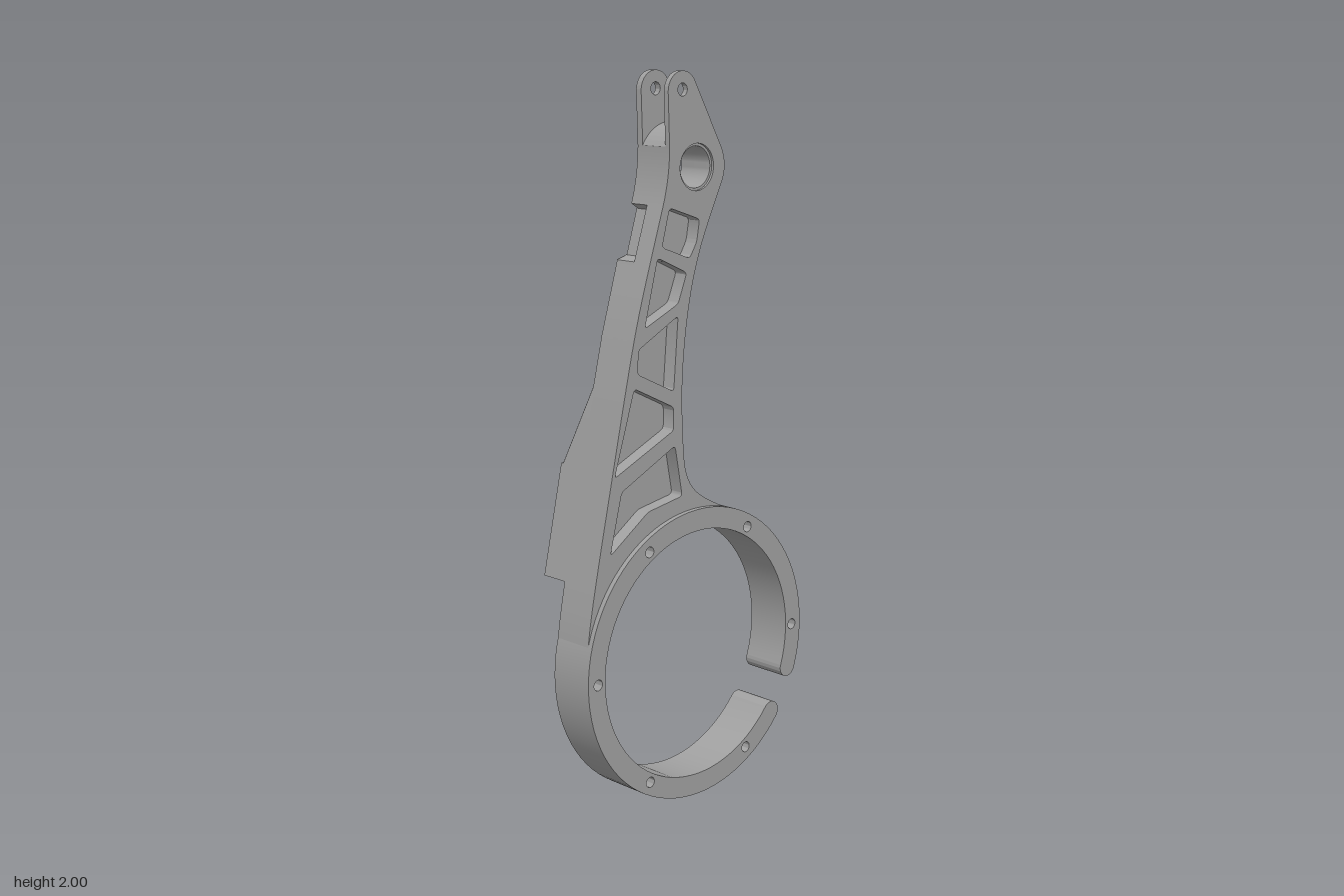
import * as THREE from 'three';
import { toCreasedNormals } from 'three/addons/utils/BufferGeometryUtils.js';

const RING_Y = 0.415, RAD = Math.PI / 180;
const v = (points) => points.map(([x, y]) => new THREE.Vector2(x, y));

function circle(x, y, r) {
  return new THREE.Path().absarc(x, y, r, 0, Math.PI * 2, true);
}

// Flat part between two depths, with smooth curved walls
function slab(shape, z0, z1) {
  const g = new THREE.ExtrudeGeometry(shape, { depth: z1 - z0, bevelEnabled: false, curveSegments: 40 });
  g.translate(0, 0, z0);
  return toCreasedNormals(g, 0.5);
}

// Lightening pockets in the front of the arm
const POCKETS = [
  [[-0.1, 1.65], [0.01, 1.613], [0, 1.554], [-0.026, 1.512], [-0.127, 1.549]],
  [[-0.143, 1.523], [-0.037, 1.475], [-0.069, 1.395], [-0.19, 1.342]],
  [[-0.069, 1.363], [-0.085, 1.162], [-0.217, 1.225], [-0.212, 1.289]],
  [[-0.228, 1.188], [-0.085, 1.119], [-0.085, 1.056], [-0.3, 0.96]],
  [[-0.275, 0.918], [-0.08, 1.013], [-0.053, 0.87], [-0.18, 0.848], [-0.317, 0.753]],
];

// Pocket outline with softened corners
function pocketPath(points) {
  const pts = v(points), path = new THREE.Path(), n = pts.length;
  pts.forEach((p, i) => {
    const a = pts[(i + n - 1) % n], b = pts[(i + 1) % n];
    const s = p.clone().add(a.clone().sub(p).setLength(0.012));
    const e = p.clone().add(b.clone().sub(p).setLength(0.012));
    if (i === 0) path.moveTo(s.x, s.y); else path.lineTo(s.x, s.y);
    path.quadraticCurveTo(p.x, p.y, e.x, e.y);
  });
  path.closePath();
  return path;
}

// Arm outline; the fork plates reach the tip, the core stops at a round boss
function armShape({ fork = false, notch = false, pockets = false }) {
  const s = new THREE.Shape();
  s.moveTo(-0.408, RING_Y);
  s.splineThru(v([[-0.386, 0.6], [-0.307, 0.97], [-0.228, 1.316], [-0.171, 1.51]]));
  if (notch) {
    s.lineTo(-0.137, 1.52);
    s.lineTo(-0.1, 1.64);
  }
  s.lineTo(-0.124, 1.655);
  s.quadraticCurveTo(-0.1, 1.73, -0.1, 1.807);
  if (fork) {
    s.lineTo(-0.105, 1.945);
    s.absarc(-0.053, 1.948, 0.052, Math.PI, 30 * RAD, true);
  } else {
    s.absarc(0, 1.75, 0.115, 150 * RAD, 57 * RAD, true);
  }
  s.lineTo(0.09, 1.8);
  s.quadraticCurveTo(0.117, 1.75, 0.09, 1.7);
  s.splineThru(v([[0.011, 1.528], [-0.032, 1.369], [-0.053, 1.183], [-0.048, 0.997],
    [-0.032, 0.918], [0.011, 0.865], [0.1, 0.815]]));
  s.absarc(0, RING_Y, 0.4, 76 * RAD, Math.PI, false);
  s.closePath();
  s.holes.push(circle(0, 1.75, 0.062));
  if (fork) s.holes.push(circle(-0.053, 1.952, 0.017));
  if (pockets) s.holes.push(...POCKETS.map(pocketPath));
  return s;
}

// Open ring with rounded ends and screw holes
function ringShape() {
  const a = -19 * RAD, b = 320 * RAD, mid = 0.382, cap = 0.03;
  const s = new THREE.Shape();
  s.absarc(0, RING_Y, mid + cap, a, b, false);
  s.absarc(mid * Math.cos(b), RING_Y + mid * Math.sin(b), cap, b, b + Math.PI, false);
  s.absarc(0, RING_Y, mid - cap, b, a, true);
  s.absarc(mid * Math.cos(a), RING_Y + mid * Math.sin(a), cap, a + Math.PI, a + Math.PI * 2, false);
  for (let i = 0; i < 6; i++) {
    const t = i * 60 * RAD;
    s.holes.push(circle(0.377 * Math.cos(t), RING_Y + 0.377 * Math.sin(t), 0.015));
  }
  return s;
}

// Lower housing of the rear cover: two feet with an arch of the given radius between
function housingShape(arch) {
  const at = (r, deg) => [r * Math.cos(deg * RAD), RING_Y + r * Math.sin(deg * RAD)];
  const s = new THREE.Shape();
  s.moveTo(-0.307, 0.97);
  s.lineTo(-0.372, 0.67);
  s.lineTo(-0.29, 0.67);
  s.lineTo(...at(0.37, 136));
  s.lineTo(...at(arch, 134));
  s.absarc(0, RING_Y, arch, 134 * RAD, 102 * RAD, true);
  s.lineTo(...at(0.37, 101));
  s.lineTo(...at(0.375, 90));
  s.lineTo(0, 0.872);
  s.lineTo(-0.032, 0.918);
  s.lineTo(-0.048, 0.97);
  s.closePath();
  return s;
}

// Upper rear cover, lofted along the arm: left x, left y, right x, right y, back z
function coverGeometry() {
  const rows = [
    [-0.092, 1.66, 0.038, 1.59, -0.036],
    [-0.1, 1.64, 0.022, 1.555, -0.038],
    [-0.137, 1.52, -0.005, 1.47, -0.038],
    [-0.171, 1.51, -0.008, 1.46, -0.038],
    [-0.228, 1.316, -0.036, 1.34, -0.038],
    [-0.26, 1.18, -0.053, 1.18, -0.038],
    [-0.307, 0.97, -0.048, 0.97, -0.108],
  ];
  const pos = [], index = [], n = 6;
  for (const [xl, yl, xr, yr, z] of rows) {
    const c = 0.008;
    const section = [[0, -0.02], [0, z + c], [c, z], [-c, z], [0, z + c], [0, -0.02]];
    section.forEach(([dx, pz], i) => pos.push((i < 3 ? xl : xr) + dx, i < 3 ? yl : yr, pz));
  }
  for (let r = 0; r < rows.length - 1; r++) {
    for (let i = 0; i < n - 1; i++) {
      const a = r * n + i, b = a + 1, c = a + n, d = c + 1;
      index.push(a, b, c, b, d, c);
    }
  }
  for (let i = 1; i < n - 1; i++) index.push(0, i + 1, i);
  const g = new THREE.BufferGeometry();
  g.setAttribute('position', new THREE.Float32BufferAttribute(pos, 3));
  g.setIndex(index);
  g.computeVertexNormals();
  return toCreasedNormals(g, 0.3);
}

export function createModel() {
  const model = new THREE.Group();
  model.name = 'ringArm';
  const grey = new THREE.MeshStandardMaterial({ color: 0xa0a0a0, side: THREE.DoubleSide });
  grey.name = 'metalGrey';
  const add = (name, geometry) => {
    const mesh = new THREE.Mesh(geometry, grey);
    mesh.name = name;
    model.add(mesh);
    return mesh;
  };

  add('clampRing', slab(ringShape(), -0.025, 0.11));

  // Arm in layers from back to front
  add('rearForkPlate', slab(armShape({ fork: true, notch: true }), -0.025, -0.006));
  add('armCoreNotched', slab(armShape({ notch: true }), -0.006, 0.035));
  add('armCore', slab(armShape({}), 0.035, 0.055));
  add('armPocketLayer', slab(armShape({ pockets: true }), 0.055, 0.079));
  add('frontForkPlate', slab(armShape({ fork: true, pockets: true }), 0.079, 0.095));

  // Sleeve set into the pivot hole
  const sleeve = [[0.055, -0.018], [0.063, -0.018], [0.063, 0.088], [0.055, 0.088], [0.055, -0.018]];
  add('pivotSleeve', toCreasedNormals(
    new THREE.LatheGeometry(v(sleeve), 48).rotateX(Math.PI / 2), 0.5)).position.y = 1.75;

  // Rear cover with a hollow lower housing
  add('rearCover', coverGeometry());
  add('housingWalls', slab(housingShape(0.455), -0.094, -0.025));
  add('housingLid', slab(housingShape(0.405), -0.108, -0.094));

  return model;
}
